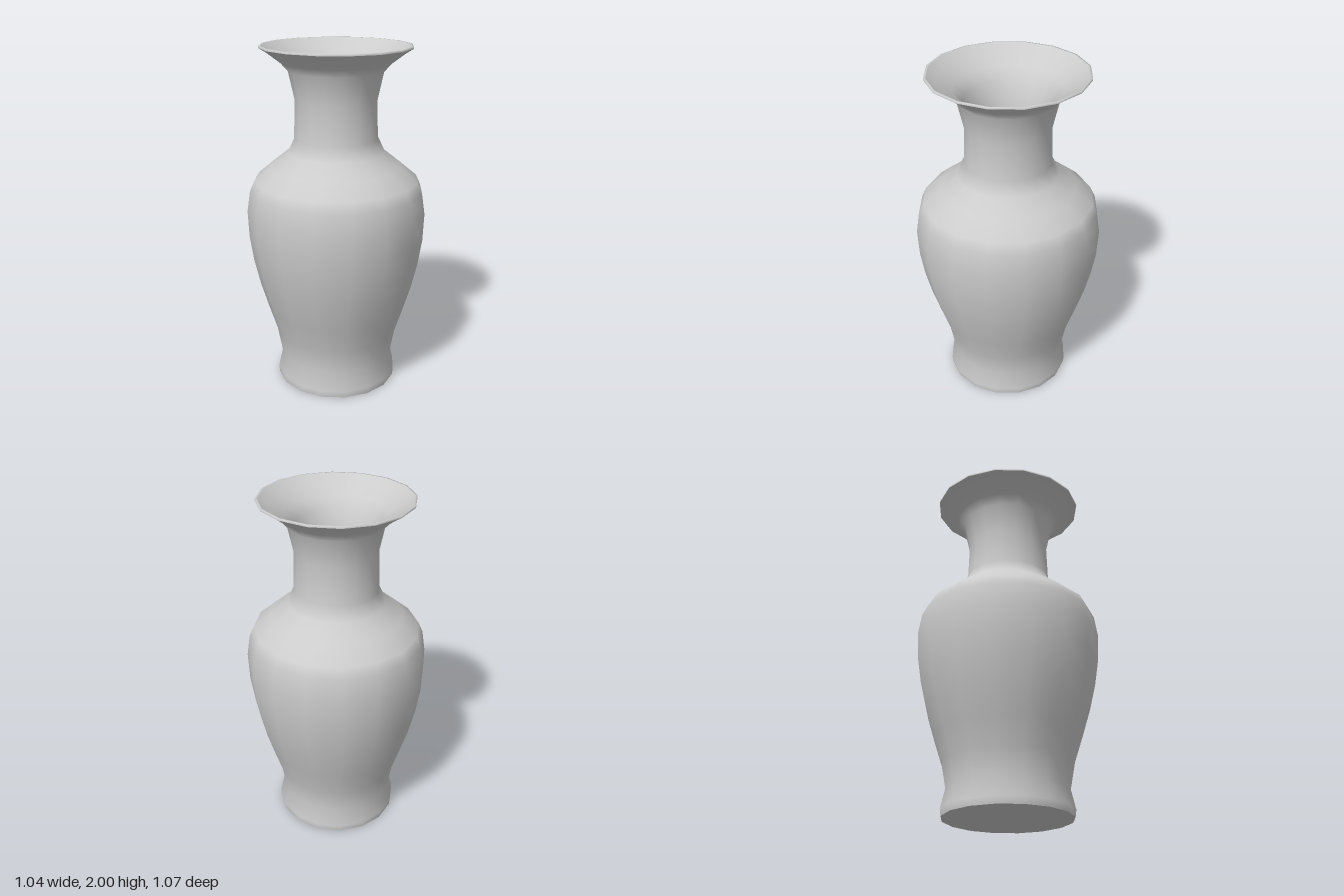
import * as THREE from 'three';

const SIDES = 16;
const DEPTH = 1.03; // slightly deeper than wide

export function createModel() {
  const vase = new THREE.Group();
  vase.name = 'vase';
  const material = new THREE.MeshStandardMaterial({ color: 0xcccccc });

  // Each part is a turned profile of [radius, height] points
  const turn = (name, points) => {
    const profile = points.map(([r, y]) => new THREE.Vector2(r, y));
    const geometry = new THREE.LatheGeometry(profile, SIDES);
    geometry.scale(1, 1, DEPTH);
    const mesh = new THREE.Mesh(geometry, material);
    mesh.name = name;
    vase.add(mesh);
  };

  // Underside of the foot
  turn('base', [[0, 0], [0.355, 0]]);

  // Outer wall: foot, belly, shoulder, neck and flared mouth
  turn('outerWall', [
    [0.355, 0], [0.36, 0.04], [0.335, 0.15], [0.362, 0.3], [0.41, 0.45],
    [0.455, 0.6], [0.49, 0.75], [0.513, 0.9], [0.52, 1.06], [0.502, 1.18],
    [0.475, 1.24], [0.38, 1.32], [0.28, 1.4], [0.242, 1.48], [0.235, 1.7],
    [0.27, 1.86], [0.31, 1.905], [0.39, 1.965], [0.43, 1.99],
  ]);

  // Thin lip around the mouth
  turn('lip', [[0.43, 1.99], [0.43, 2], [0.42, 2]]);

  // Inner wall: funnel, throat and hollow belly
  turn('innerWall', [
    [0.42, 2], [0.38, 1.97], [0.29, 1.91], [0.235, 1.85], [0.185, 1.72],
    [0.16, 1.5], [0.2, 1.4], [0.39, 1.24], [0.45, 1.06], [0.44, 0.9],
    [0.385, 0.6], [0.29, 0.3], [0.27, 0.06],
  ]);

  // Floor inside the vase
  turn('innerFloor', [[0.27, 0.06], [0, 0.06]]);

  return vase;
}
